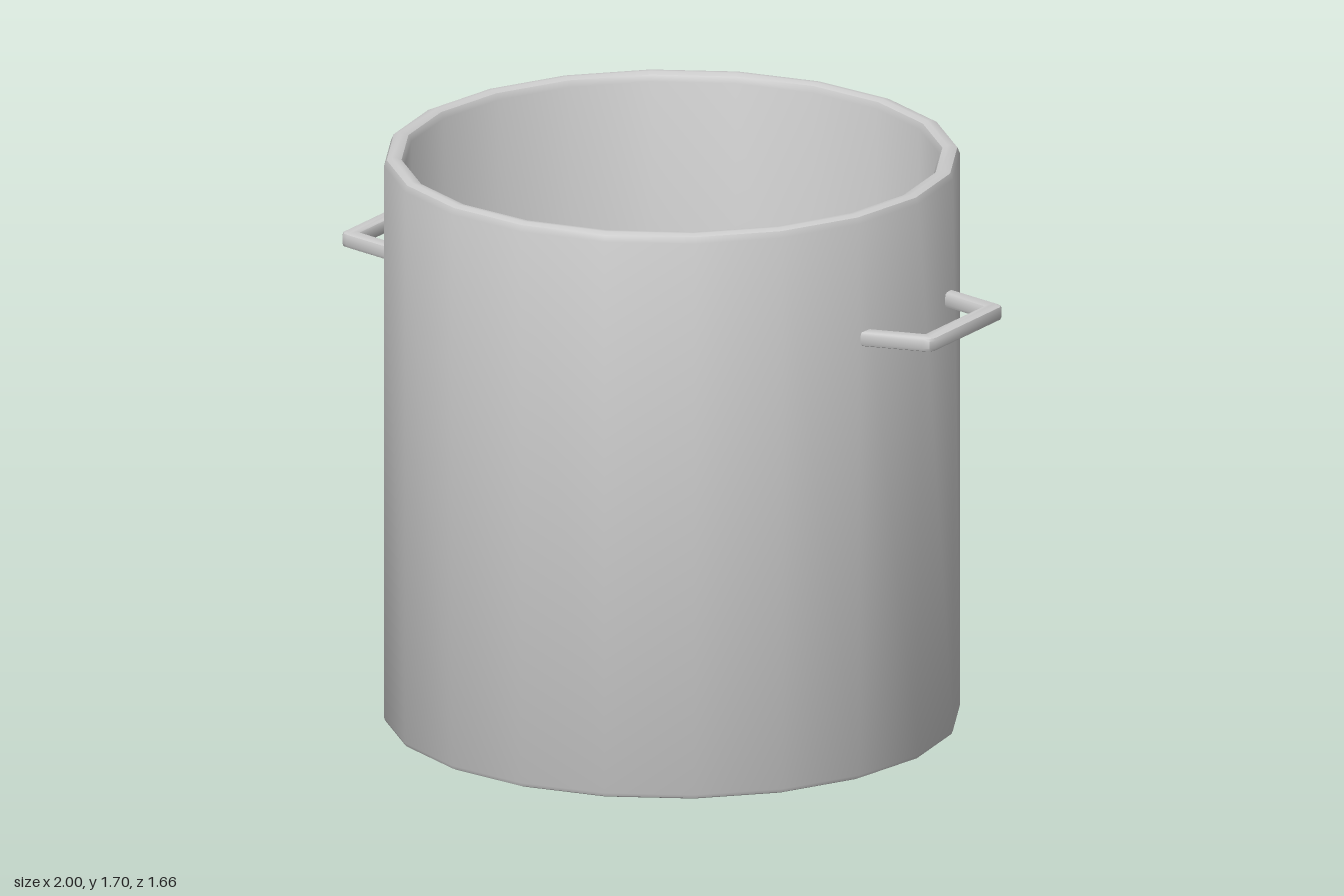
import * as THREE from 'three';
import { toCreasedNormals } from 'three/addons/utils/BufferGeometryUtils.js';

const SIDES = 20;

export function createModel() {
  const group = new THREE.Group();
  group.name = 'cookingPot';
  const material = new THREE.MeshStandardMaterial({ color: 0xcccccc });

  const add = (name, geometry) => {
    const mesh = new THREE.Mesh(toCreasedNormals(geometry, 0.65), material);
    mesh.name = name;
    group.add(mesh);
    return mesh;
  };

  // Pot body: base, outer wall, rounded rim, inner wall and floor in one profile
  const profile = [
    [0, 0], [0.815, 0], [0.826, 0.005], [0.83, 0.015],
    [0.83, 1.67], [0.822, 1.688], [0.807, 1.695],
    [0.794, 1.695], [0.779, 1.688], [0.77, 1.67],
    [0.77, 0.05], [0, 0.05],
  ].map(([r, y]) => new THREE.Vector2(r, y));
  add('potBody', new THREE.LatheGeometry(profile, SIDES));

  // Handle: a bent bar seen from above, with bevelled edges; ends sit in the wall
  const half = [[0.785, 0.203], [0.785, 0.252], [0.972, 0.204], [0.99, 0.197], [1, 0.18]];
  const inner = [0.95, 0.16];
  const mirrored = half.map(([x, z]) => [x, -z]).reverse();
  const outline = [inner, ...half, ...mirrored, [inner[0], -inner[1]]];
  const bevel = 0.011;
  const height = 0.044;
  const bar = new THREE.ExtrudeGeometry(
    new THREE.Shape(outline.map(([x, z]) => new THREE.Vector2(x, z))),
    {
      depth: height - 2 * bevel, bevelEnabled: true, bevelSegments: 2,
      bevelSize: bevel, bevelThickness: bevel, bevelOffset: -bevel,
    },
  );
  bar.rotateX(-Math.PI / 2);
  bar.translate(0, 1.3 + bevel, 0);

  add('leftHandle', bar);
  add('rightHandle', bar).rotation.y = Math.PI;

  return group;
}
